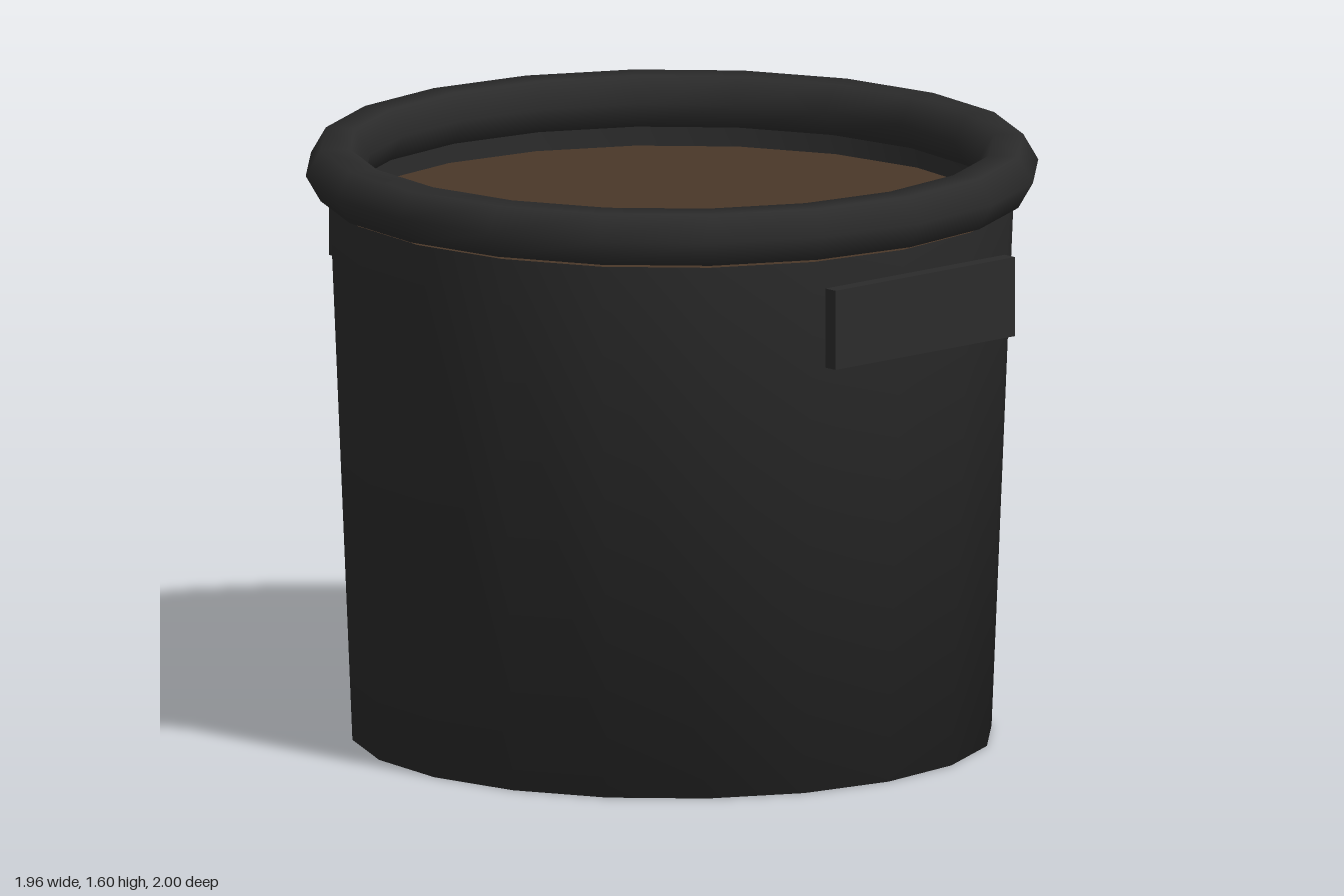
import * as THREE from 'three';

const SIDES = 20;

export function createModel() {
  const model = new THREE.Group();
  const plastic = new THREE.MeshStandardMaterial({ color: 0x2b2b2b });
  const shell = new THREE.MeshStandardMaterial({ color: 0x2b2b2b, side: THREE.DoubleSide });
  const earth = new THREE.MeshStandardMaterial({ color: 0x4a3728, side: THREE.DoubleSide });

  const add = (name, geometry, material) => {
    const mesh = new THREE.Mesh(geometry, material);
    mesh.name = name;
    model.add(mesh);
    return mesh;
  };

  // Tapered pot with a closed base, open at the top
  const profile = [[0, 0], [0.855, 0], [0.915, 1.455]].map(([x, y]) => new THREE.Vector2(x, y));
  add('pot', new THREE.LatheGeometry(profile, SIDES), shell);

  // Thick rolled rim, six-sided in section, just above the wall
  const rim = add('rim', new THREE.TorusGeometry(0.9, 0.08, 6, SIDES), plastic);
  rim.rotation.x = Math.PI / 2;
  rim.position.y = 1.535;

  // Soil surface a little below the rim
  const soil = add('soil', new THREE.CircleGeometry(0.88, SIDES), earth);
  soil.rotation.x = -Math.PI / 2;
  soil.position.y = 1.41;

  // Flat grips at front and back
  for (const [name, side] of [['frontHandle', 1], ['backHandle', -1]]) {
    const handle = add(name, new THREE.BoxGeometry(0.645, 0.215, 0.04), plastic);
    handle.position.set(0, 1.295, side * 0.98);
  }

  return model;
}
